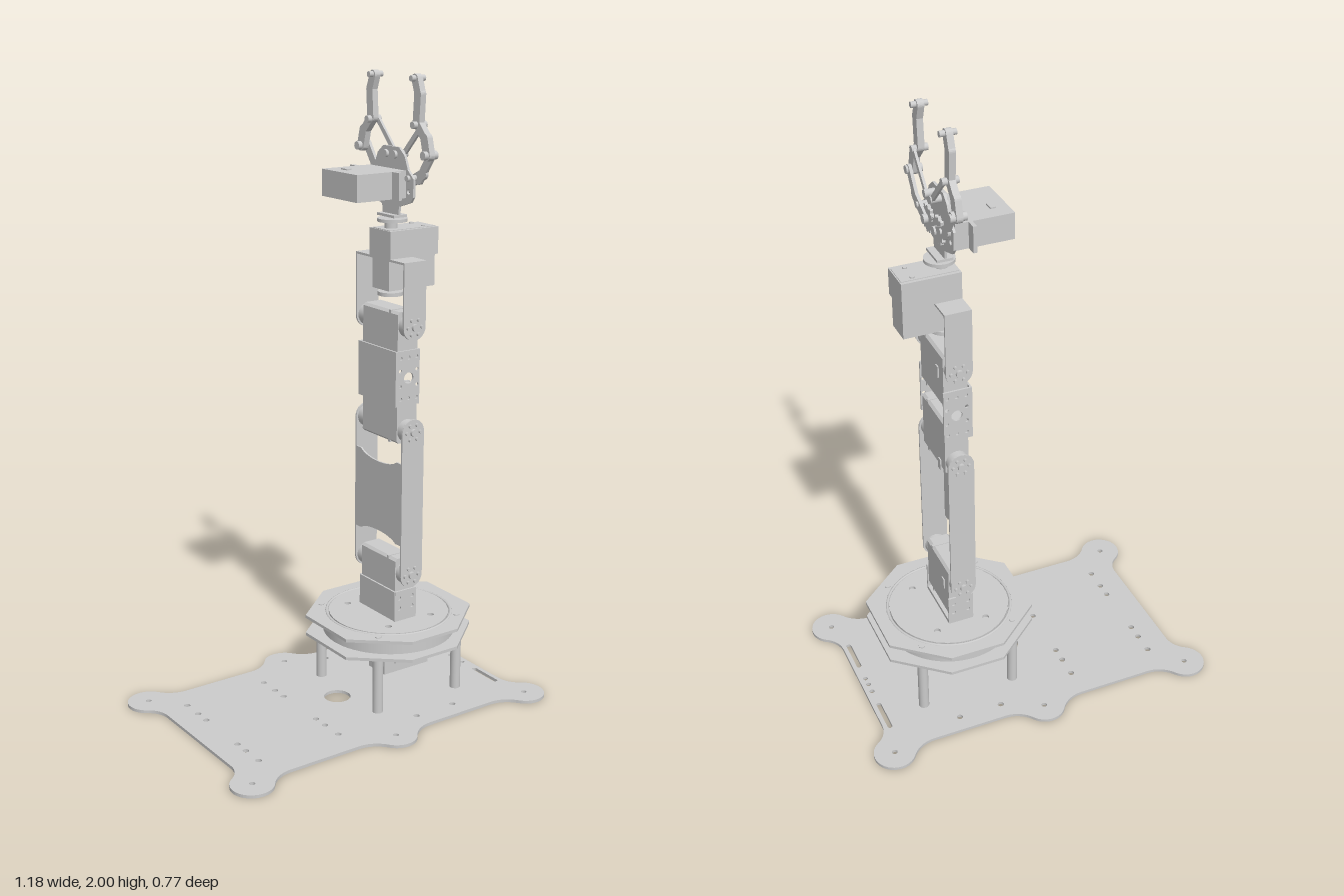
import * as THREE from 'three';

const mat = new THREE.MeshStandardMaterial({ color: 0xcccccc, side: THREE.DoubleSide });
const AX = 0.2; // x of the arm's vertical axis
const V = (x, y) => new THREE.Vector2(x, y);

function add(parent, name, geo, x = 0, y = 0, z = 0) {
  const m = new THREE.Mesh(geo, mat);
  m.name = name;
  m.position.set(x, y, z);
  parent.add(m);
  return m;
}
// Box given by its limits on each axis
function box(parent, name, x0, x1, y0, y1, z0, z1) {
  return add(parent, name, new THREE.BoxGeometry(x1 - x0, y1 - y0, z1 - z0), (x0 + x1) / 2, (y0 + y1) / 2, (z0 + z1) / 2);
}
// Cylinder centred at a point, along the named axis
function rod(parent, name, axis, r, len, x, y, z, seg = 20) {
  const g = new THREE.CylinderGeometry(r, r, len, seg);
  if (axis === 'x') g.rotateZ(Math.PI / 2);
  if (axis === 'z') g.rotateX(Math.PI / 2);
  return add(parent, name, g, x, y, z);
}
function hole(shape, x, y, r) {
  shape.holes.push(new THREE.Path().absarc(x, y, r, 0, Math.PI * 2, true));
}
const extrude = (shape, depth) => new THREE.ExtrudeGeometry(shape, { depth, bevelEnabled: false, curveSegments: 16 });
// Horizontal sheet, shape drawn in (x, z)
const flat = (shape, y0, h) => extrude(shape, h).rotateX(Math.PI / 2).translate(0, y0 + h, 0);
// Upright sheet, shape drawn in (z, y)
const upright = (shape, x0, h) => extrude(shape, h).rotateY(-Math.PI / 2).translate(x0 + h, 0, 0);

function arc(cx, cy, r, a0, a1, n = 12) {
  return Array.from({ length: n + 1 }, (_, i) => {
    const a = a0 + (a1 - a0) * i / n;
    return V(cx + r * Math.cos(a), cy + r * Math.sin(a));
  });
}
// Bar with rounded ends between two points
function barShape(ax, ay, bx, by, r) {
  const t = Math.atan2(by - ay, bx - ax), q = Math.PI / 2;
  return new THREE.Shape([...arc(bx, by, r, t - q, t + q), ...arc(ax, ay, r, t + q, t + 3 * q)]);
}

// Base sheet: lobed outline built as a quarter, then mirrored
function basePlate(g) {
  const P = Math.PI, c = 0.32, cx = 0.522, r = 0.067, e = 0.315, R = 0.1, ex = 0.52, R2 = 0.08;
  const dx = Math.sqrt((r + R) ** 2 - (e + R - c) ** 2), a = Math.atan2(e + R - c, dx);
  const dz = Math.sqrt((r + R2) ** 2 - (ex + R2 - cx) ** 2), b = Math.atan2(-dz, ex + R2 - cx);
  const q = [
    ...arc(0, c, r, P / 2, a), ...arc(dx, e + R, R, a + P, 1.5 * P),
    ...arc(cx - dx, e + R, R, 1.5 * P, 2 * P - a), ...arc(cx, c, r, P - a, b, 24),
    ...arc(ex + R2, c - dz, R2, b + P, P),
  ];
  const mir = (sx, sy) => q.map(p => V(p.x * sx, p.y * sy));
  const s = new THREE.Shape([
    ...q, ...mir(1, -1).reverse().slice(0, -1), ...mir(-1, -1).slice(0), ...mir(-1, 1).reverse().slice(0, -1),
  ]);
  for (const z of [-c, c]) for (const x of [-cx, 0, cx]) hole(s, x, z, 0.009);
  for (const z of [-0.22, -0.15, -0.098, 0.092, 0.142, 0.215]) for (const x of [-0.435, -0.145]) hole(s, x, z, 0.01);
  for (const z of [-0.26, 0.255]) for (const x of [0.13, 0.275]) hole(s, x, z, 0.01);
  for (const z of [-0.035, 0, 0.03]) hole(s, 0.498, z, 0.008);
  for (const z of [-0.155, 0.15]) s.holes.push(new THREE.Path(barShape(0.498, z - 0.053, 0.498, z + 0.053, 0.008).getPoints()));
  hole(s, 0, 0, 0.043);
  add(g, 'basePlate', flat(s, 0, 0.01));
}

// Turntable: two octagons, ring between, inset disc, posts
function turntable(g) {
  const oct = rad => {
    const s = new THREE.Shape([[0.25, 0.115], [0.09, 0.25], [-0.09, 0.25], [-0.25, 0.115],
      [-0.25, -0.115], [-0.09, -0.25], [0.09, -0.25], [0.25, -0.115]].map(([x, z]) => V(x + 0.204, z)));
    if (rad) hole(s, 0.204, 0, rad);
    return s;
  };
  add(g, 'lowerOctagon', flat(oct(0), 0.195, 0.01));
  add(g, 'upperOctagon', flat(oct(0.208), 0.256, 0.01));
  add(g, 'bearingRing', new THREE.CylinderGeometry(0.215, 0.215, 0.05, 64), 0.204, 0.23, 0);
  add(g, 'bearingLip', new THREE.TorusGeometry(0.203, 0.005, 8, 64).rotateX(Math.PI / 2), 0.204, 0.264, 0);
  const disc = new THREE.Shape().absarc(0.204, 0, 0.196, 0, Math.PI * 2);
  for (const x of [0.145, 0.315]) for (const z of [-0.114, 0.114]) hole(disc, x - 0.025, z, 0.011);
  add(g, 'turnDisc', flat(disc, 0.258, 0.01));
  for (const x of [0.046, 0.361]) for (const z of [-0.16, 0.16]) {
    rod(g, 'post', 'y', 0.017, 0.19, x, 0.1, z, 16);
    rod(g, 'postScrew', 'y', 0.01, 0.012, x, 0.263, z, 12);
  }
  // Turning motor under the table
  box(g, 'baseMotor', 0.158, 0.337, 0.06, 0.195, -0.043, 0.043);
  box(g, 'baseMotorEars', 0.127, 0.345, 0.183, 0.191, -0.043, 0.043);
  box(g, 'baseMotorPlug', 0.2, 0.24, 0.09, 0.11, 0.043, 0.048);
}

// Joint motor with its horns on the pivot axis along z
function jointMotor(g, name, y0, y1, pivot) {
  const m = new THREE.Group();
  m.name = name;
  g.add(m);
  const s = new THREE.Shape([[0.162, 0.008], [0.17, 0], [0.23, 0], [0.238, 0.008]].map(([x, d]) => V(x, y0 + d))
    .concat([[0.238, 0.008], [0.23, 0], [0.17, 0], [0.162, 0.008]].map(([x, d]) => V(x, y1 - d))));
  add(m, 'motorBody', extrude(s, 0.182), 0, 0, -0.091);
  box(m, 'motorEars', 0.162, 0.238, y0 - 0.002, y1 + 0.002, 0.045, 0.055);
  box(m, 'motorPlug', 0.238, 0.242, pivot - 0.045, pivot - 0.008, -0.058, -0.04);
  for (const k of [-1, 1]) {
    rod(m, 'horn', 'z', 0.036, 0.03, AX, pivot, k * 0.106, 24);
    rod(m, 'hornCap', 'z', 0.012, 0.012, AX, pivot, k * 0.129, 12);
    for (let i = 0; i < 6; i++) {
      const a = i * Math.PI / 3;
      rod(m, 'hornScrew', 'z', 0.006, 0.01, AX + 0.026 * Math.cos(a), pivot + 0.026 * Math.sin(a), k * 0.129, 8);
    }
  }
}

// Sheet cheek rounded at a pivot, square or rounded at the other end
function cheeks(g, name, shape, z, t) {
  for (const k of [-1, 1]) add(g, name, extrude(shape, t), 0, 0, k * z - t / 2);
}

function arm(g) {
  jointMotor(g, 'shoulderMotor', 0.295, 0.48, 0.43);
  jointMotor(g, 'elbowMotor', 0.865, 1.05, 0.905);
  jointMotor(g, 'wristPitchMotor', 1.105, 1.285, 1.24);

  // Shoulder bracket
  box(g, 'shoulderFoot', 0.158, 0.242, 0.268, 0.28, -0.098, 0.098);
  const sh = new THREE.Shape([V(0.158, 0.27), V(0.242, 0.27), V(0.242, 0.37), V(0.158, 0.37)]);
  for (const x of [0.175, 0.225]) for (const y of [0.31, 0.345]) hole(sh, x, y, 0.007);
  cheeks(g, 'shoulderBracket', sh, 0.095, 0.006);
  box(g, 'shoulderBracketBack', 0.156, 0.162, 0.27, 0.37, -0.095, 0.095);

  // Upper arm channel
  cheeks(g, 'upperArmCheek', barShape(AX, 0.43, AX, 0.905, 0.042), 0.123, 0.006);
  const web = new THREE.Shape().moveTo(-0.125, 0.535).lineTo(-0.095, 0.535);
  web.bezierCurveTo(-0.06, 0.56, 0.06, 0.56, 0.095, 0.535).lineTo(0.125, 0.535).lineTo(0.125, 0.807).lineTo(0.095, 0.807);
  web.bezierCurveTo(0.06, 0.778, -0.06, 0.778, -0.095, 0.807).lineTo(-0.125, 0.807);
  add(g, 'upperArmWeb', upright(web, 0.158, 0.006));

  // Back-to-back elbow bracket
  const eb = new THREE.Shape([V(0.15, 0.987), V(0.242, 0.987), V(0.242, 1.163), V(0.15, 1.163)]);
  hole(eb, AX, 1.075, 0.018);
  for (const x of [0.17, 0.2, 0.23]) for (const y of [1.01, 1.14]) hole(eb, x, y, 0.006);
  for (const x of [0.168, 0.232]) for (const y of [1.05, 1.1]) hole(eb, x, y, 0.006);
  cheeks(g, 'elbowBracket', eb, 0.096, 0.006);
  box(g, 'elbowBracketBack', 0.15, 0.156, 0.987, 1.163, -0.096, 0.096);

  // Wrist fork
  const wf = new THREE.Shape([...arc(AX, 1.24, 0.042, Math.PI, 2 * Math.PI), V(0.242, 1.443), V(0.158, 1.443)]);
  cheeks(g, 'wristFork', wf, 0.123, 0.006);
  box(g, 'wristForkTop', 0.158, 0.242, 1.436, 1.443, -0.123, 0.123);

  // Wrist turning motor in its collar
  box(g, 'wristMotor', 0.162, 0.338, 1.342, 1.53, -0.043, 0.043);
  box(g, 'wristCollar', 0.158, 0.342, 1.443, 1.528, -0.054, 0.054);
  for (const z of [-0.03, 0.03]) rod(g, 'collarScrew', 'y', 0.007, 0.008, 0.3, 1.53, z, 10);
  rod(g, 'wristLowerHorn', 'y', 0.04, 0.012, AX, 1.327, 0);
  rod(g, 'wristShaft', 'y', 0.02, 0.04, AX, 1.54, 0);
  rod(g, 'wristHorn', 'y', 0.047, 0.01, AX + 0.005, 1.555, 0, 24);
}

function gripper(g) {
  // Mounting foot and body plates
  box(g, 'gripperFoot', 0.178, 0.228, 1.566, 1.574, -0.043, 0.043);
  const half = [[0.04, 1.566], [0.043, 1.6], [0.1, 1.618], [0.113, 1.635], [0.113, 1.69], [0.085, 1.715], [0.068, 1.755], [0.04, 1.778]];
  const s = new THREE.Shape([...half.map(([z, y]) => V(z, y)), ...half.map(([z, y]) => V(-z, y)).reverse()]);
  for (const k of [-1, 1]) hole(s, k * 0.09, 1.65, 0.008);
  add(g, 'gripperPlate', upright(s, 0.197, 0.008));

  // Grip motor behind the plate
  box(g, 'gripMotor', 0.017, 0.197, 1.63, 1.712, -0.107, 0.077);
  box(g, 'gripMotorEars', 0.145, 0.157, 1.63, 1.712, -0.14, 0.112);
  box(g, 'gripMotorPlug', 0.055, 0.072, 1.712, 1.716, -0.06, -0.03);

  for (const k of [-1, 1]) {
    const side = new THREE.Group();
    side.name = k > 0 ? 'frontClaw' : 'rearClaw';
    g.add(side);
    const bar = (name, a, b, r, x, t) => add(side, name, upright(barShape(k * a[0], a[1], k * b[0], b[1], r), x, t));
    // Toothed gear and links
    const teeth = Array.from({ length: 48 }, (_, i) => {
      const a = i * Math.PI / 24, r = i % 4 < 2 ? 0.043 : 0.036;
      return V(k * 0.04 + r * Math.cos(a), 1.668 + r * Math.sin(a));
    });
    add(side, 'gear', upright(new THREE.Shape(teeth), 0.214, 0.01));
    bar('driveLink', [0.05, 1.668], [0.125, 1.705], 0.016, 0.222, 0.01);
    bar('driveLink', [0.105, 1.685], [0.163, 1.768], 0.014, 0.222, 0.01);
    bar('guideLink', [0.022, 1.755], [0.113, 1.85], 0.008, 0.226, 0.008);
    // Finger
    const f = [[0.167, 1.765], [0.155, 1.812], [0.115, 1.855], [0.121, 1.94], [0.106, 1.983]];
    const wid = [0.017, 0.014, 0.016, 0.015];
    for (let i = 0; i < 4; i++) bar('finger', f[i], f[i + 1], wid[i], 0.202, 0.02);
    // Pivot bolts
    for (const [z, y, r] of [[0.167, 1.765, 0.013], [0.115, 1.85, 0.011], [0.022, 1.755, 0.012], [0.04, 1.668, 0.014],
      [0.106, 1.985, 0.009], [0.09, 1.69, 0.009]]) rod(side, 'pivotBolt', 'x', r, 0.05, 0.213, y, k * z, 14);
  }
}

export function createModel() {
  const g = new THREE.Group();
  g.name = 'robotArm';
  basePlate(g);
  turntable(g);
  arm(g);
  gripper(g);
  return g;
}
